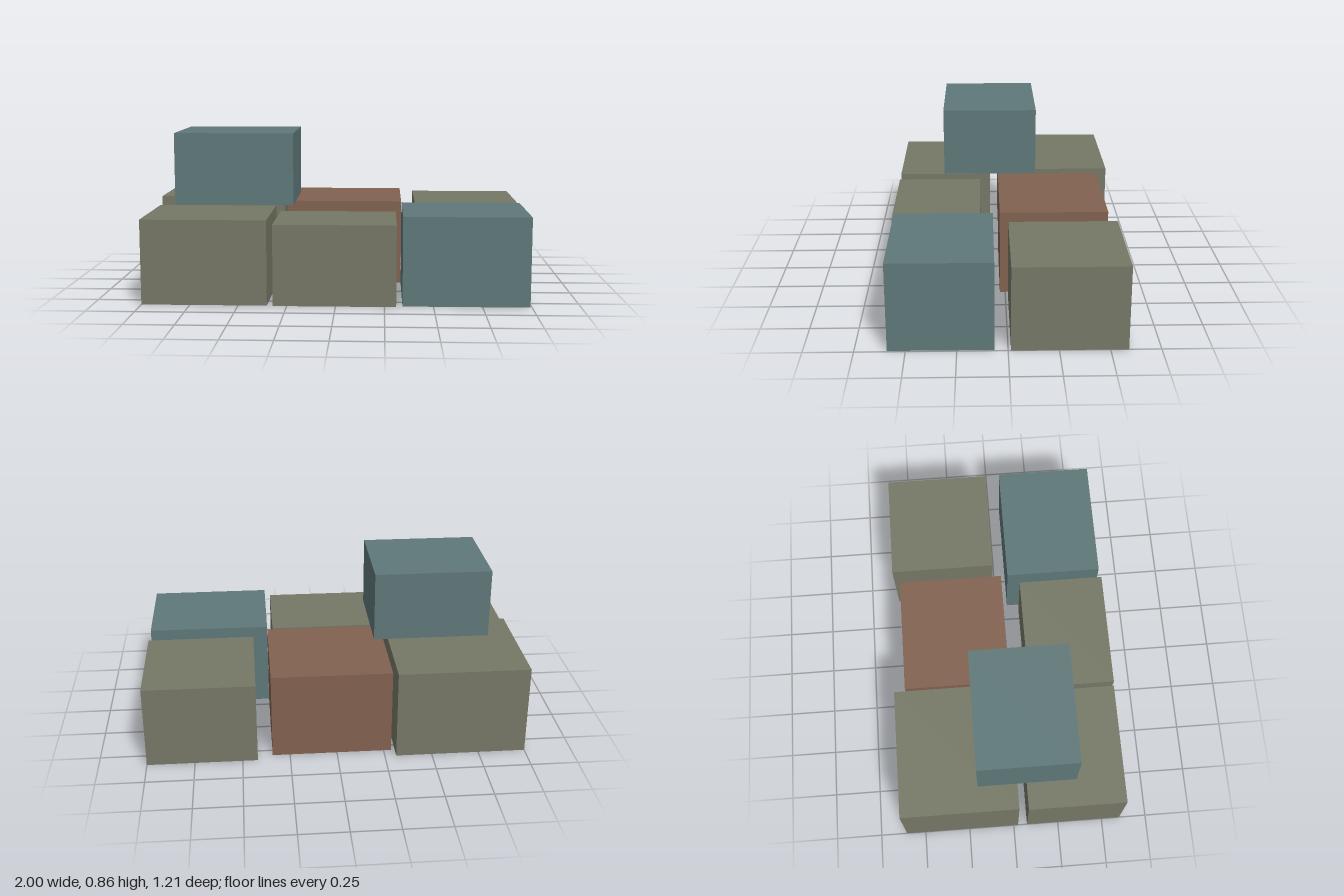
import * as THREE from 'three';

function material(name, color) {
  const m = new THREE.MeshStandardMaterial({ color });
  m.name = name;
  return m;
}

export function createModel() {
  const olive = material('olive', 0x767866);
  const teal = material('teal', 0x5f7879);
  const brown = material('brown', 0x826250);

  // Each crate: name, material, x range, y range, z range
  const crates = [
    ['backRightCrate', olive, [-1, -0.31], [0, 0.484], [-0.606, 0.024]],
    ['backMiddleCrate', brown, [-0.29, 0.342], [0, 0.463], [-0.548, 0.029]],
    ['backLeftCrate', olive, [0.421, 1], [0, 0.442], [-0.59, -0.014]],
    ['frontRightCrate', olive, [-1, -0.352], [0, 0.442], [0.075, 0.6]],
    ['frontMiddleCrate', olive, [-0.321, 0.31], [0, 0.421], [0.134, 0.606]],
    ['frontLeftCrate', teal, [0.342, 0.992], [0, 0.463], [0.066, 0.59]],
    ['stackedCrate', teal, [-0.864, -0.234], [0.484, 0.863], [-0.187, 0.339]],
  ];

  const group = new THREE.Group();
  group.name = 'crateStack';
  for (const [name, mat, ...ranges] of crates) {
    const size = ranges.map(([a, b]) => b - a);
    const centre = ranges.map(([a, b]) => (a + b) / 2);
    const mesh = new THREE.Mesh(new THREE.BoxGeometry(...size), mat);
    mesh.position.set(...centre);
    mesh.name = name;
    group.add(mesh);
  }
  return group;
}
